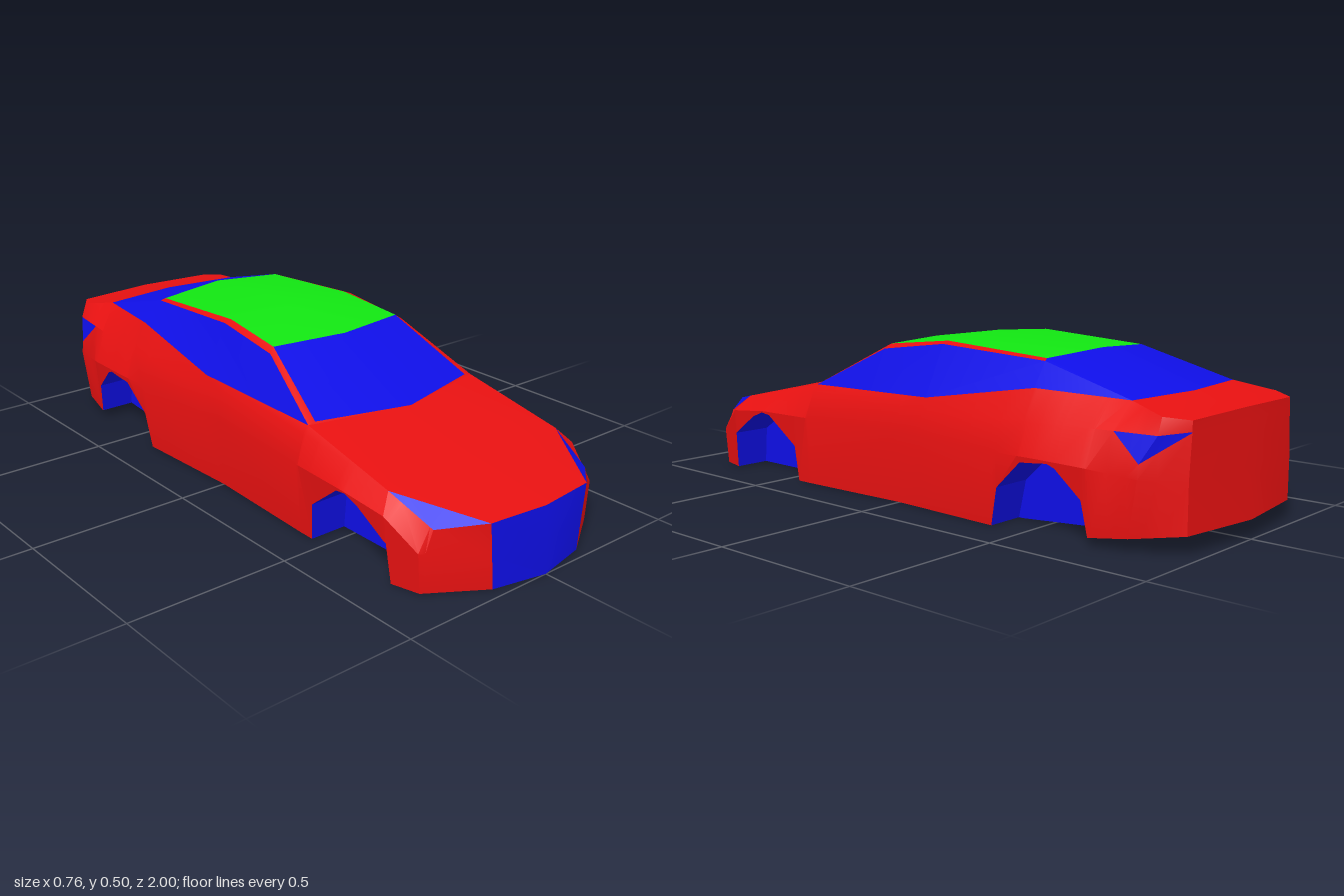
import * as THREE from 'three';
import { toCreasedNormals } from 'three/addons/utils/BufferGeometryUtils.js';

// Lengthwise body lines of the +x half, each point [z, x, y], nose to tail
const sill = [[.965, .17, 0], [.86, .335, 0], [.76, .362, 0], [.4, .36, 0], [0, .345, 0],
  [-.4, .362, 0], [-.72, .355, .025], [-.83, .335, .038], [-.965, .265, .055]];
const shoulder = [[.965, .18, .1], [.86, .345, .12], [.76, .378, .2], [.6, .382, .215], [.4, .372, .215],
  [0, .355, .215], [-.4, .375, .215], [-.55, .382, .218], [-.7, .376, .215], [-.86, .343, .2], [-.965, .265, .2]];
const lampLow = [[.965, .19, .2], [.87, .303, .18], [.73, .333, .248], [.39, .342, .3], [0, .342, .29],
  [-.3, .348, .3], [-.55, .348, .31], [-.775, .33, .315], [-.86, .338, .24], [-.965, .255, .323]];
const lampHigh = [[.965, .19, .2], ...lampLow.slice(2, 8), [-.9, .313, .315], [-.965, .255, .325]];
const belt = [[.965, .19, .2], [.73, .333, .248], [.39, .325, .32], [-.1, .33, .33], [-.49, .303, .395],
  [-.78, .255, .386], [-.9, .295, .362], [-.965, .255, .355]];

// Wheel arch outlines [z, y]
const arches = [
  [[.775, 0], [.765, .12], [.66, .19], [.61, .21], [.575, .205], [.46, .115], [.45, 0]],
  [[-.385, 0], [-.41, .115], [-.5, .2], [-.595, .21], [-.62, .2], [-.7, .125], [-.715, .0246]],
];
const wellX = .24;

const V = (x, y, z) => new THREE.Vector3(x, y, z);

// Point on a body line at a given z
function at(line, z) {
  let i = 0;
  while (i < line.length - 2 && z < line[i + 1][0]) i++;
  const [a, b] = [line[i], line[i + 1]];
  const t = THREE.MathUtils.clamp((z - a[0]) / (b[0] - a[0]), 0, 1);
  const mix = (k) => a[k] + (b[k] - a[k]) * t;
  return V(mix(1), mix(2), z);
}

const archAt = (z) => arches.find((a) => z <= a[0][0] && z >= a[a.length - 1][0]);

// Lower edge of the side panel, following the arches
function edge(z) {
  const low = at(sill, z), arch = archAt(z);
  if (!arch) return low;
  const high = at(shoulder, z);
  const y = Math.max(low.y, at(arch.map(([az, ay]) => [az, 0, ay]), z).y);
  return low.lerp(high, (y - low.y) / (high.y - low.y));
}

// Mirrored surface between pairs of rows: [lower or outer row, upper or inner row]
function panel(name, material, pairs) {
  const pos = [];
  const tri = (a, b, c) => {
    if (new THREE.Triangle(a, b, c).getArea() < 1e-7) return;
    for (const p of [a, b, c]) pos.push(p.x, p.y, p.z);
    for (const p of [a, c, b]) pos.push(-p.x, p.y, p.z);
  };
  for (const [A, B] of pairs) {
    for (let i = 0; i < A.length - 1; i++) {
      tri(A[i], A[i + 1], B[i + 1]);
      tri(A[i], B[i + 1], B[i]);
    }
  }
  const geo = new THREE.BufferGeometry();
  geo.setAttribute('position', new THREE.Float32BufferAttribute(pos, 3));
  const mesh = new THREE.Mesh(toCreasedNormals(geo, .4), material);
  mesh.name = name;
  return mesh;
}

export function createModel() {
  const paint = (name, color) => {
    const m = new THREE.MeshStandardMaterial({ color, side: THREE.DoubleSide });
    m.name = name;
    return m;
  };
  const red = paint('body red', 0xf01212);
  const blue = paint('glass blue', 0x1010f0);
  const green = paint('roof green', 0x12e612);

  const car = new THREE.Group();
  car.name = 'car';
  const add = (...args) => car.add(panel(...args));

  // Stations along the length, at every bend of a body line or arch
  const zs = [...new Set([sill, shoulder, lampLow, lampHigh, belt, ...arches].flat().map((p) => p[0]))]
    .sort((a, b) => b - a);
  const row = (line, list) => list.map((z) => at(line, z));

  // Sides
  add('bodySides', red, [
    [zs.map(edge), row(shoulder, zs)],
    [row(shoulder, zs), row(lampLow, zs)],
    [row(lampHigh, zs), row(belt, zs)],
  ]);
  const noseZs = zs.filter((z) => z >= .73), tailZs = zs.filter((z) => z <= -.775);
  add('headlights', blue, [[row(lampLow, noseZs), row(lampHigh, noseZs)]]);
  add('taillights', blue, [[row(lampLow, tailZs), row(lampHigh, tailZs)]]);

  // Nose and tail panels, from the centre line to the sides
  const nose = [V(0, 0, 1), V(0, .1, .995), V(0, .2, .985)];
  const noseSide = [sill, shoulder, belt].map((l) => at(l, .965));
  add('grille', blue, [0, 1].map((i) => [[nose[i], noseSide[i]], [nose[i + 1], noseSide[i + 1]]]));
  const tail = [V(0, .055, -1), V(0, .2, -.99), V(0, .325, -.978), V(0, .36, -.975)];
  const tailSide = [sill, shoulder, lampHigh, belt].map((l) => at(l, -.965));
  add('rearPanel', red, [0, 1, 2].map((i) => [[tailSide[i], tail[i]], [tailSide[i + 1], tail[i + 1]]]));

  // Bonnet and boot lid
  add('bonnet', red, [[
    [...row(belt, [.965, .87, .73, .39]), V(.3, .325, .39)],
    [V(0, .2, .985), V(0, .227, .88), V(0, .26, .73), V(0, .322, .465), V(0, .322, .465)],
  ]]);
  add('bootLid', red, [[
    row(belt, [-.78, -.9, -.965]),
    [V(0, .387, -.81), V(0, .369, -.9), V(0, .36, -.975)],
  ]]);

  // Cabin
  const spine = [V(0, .322, .465), V(0, .467, .17), V(0, .505, -.1), V(0, .482, -.5), V(0, .387, -.81)];
  const rim = [V(.3, .325, .39), V(.245, .465, .13), V(.232, .49, -.1), V(.23, .469, -.475), V(.255, .386, -.78)];
  const rail = [V(.325, .32, .39), V(.265, .45, .14), V(.255, .482, -.1), V(.245, .463, -.48), V(.255, .386, -.78)];
  const waist = row(belt, [.39, .14, -.1, -.49, -.78]);
  const cut = (a, b, from, to) => [[a.slice(from, to + 1), b.slice(from, to + 1)]];
  add('windscreen', blue, cut(rim, spine, 0, 1));
  add('roof', green, cut(rim, spine, 1, 3));
  add('rearWindow', blue, [...cut(rim, spine, 3, 4), ...cut(rail, rim, 3, 4)]);
  add('roofRails', red, cut(rail, rim, 0, 3));
  add('sideWindows', blue, cut(waist, rail, 0, 4));

  // Floor, left open at the wheel wells
  const floorIn = (z) => { const p = at(sill, z); return V(Math.min(p.x, wellX), p.y, z); };
  const middle = (z) => V(0, at(sill, z).y, z);
  const floor = [
    [[nose[0], ...zs.map(middle)], [nose[0], ...zs.map(floorIn)]],
    [[middle(-.965), tail[0]], [at(sill, -.965), tail[0]]],
  ];
  for (let i = 0; i < zs.length - 1; i++) {
    const span = [zs[i], zs[i + 1]];
    if (!archAt((span[0] + span[1]) / 2)) floor.push([span.map(floorIn), row(sill, span)]);
  }
  add('floor', blue, floor);

  // Wheel wells
  arches.forEach((arch, i) => {
    const list = zs.filter((z) => archAt(z) === arch);
    const outer = list.map(edge);
    const inner = outer.map((p) => V(wellX, p.y, p.z));
    add(i ? 'rearWheelWells' : 'frontWheelWells', blue, [[inner, outer], [list.map(floorIn), inner]]);
  });

  return car;
}
